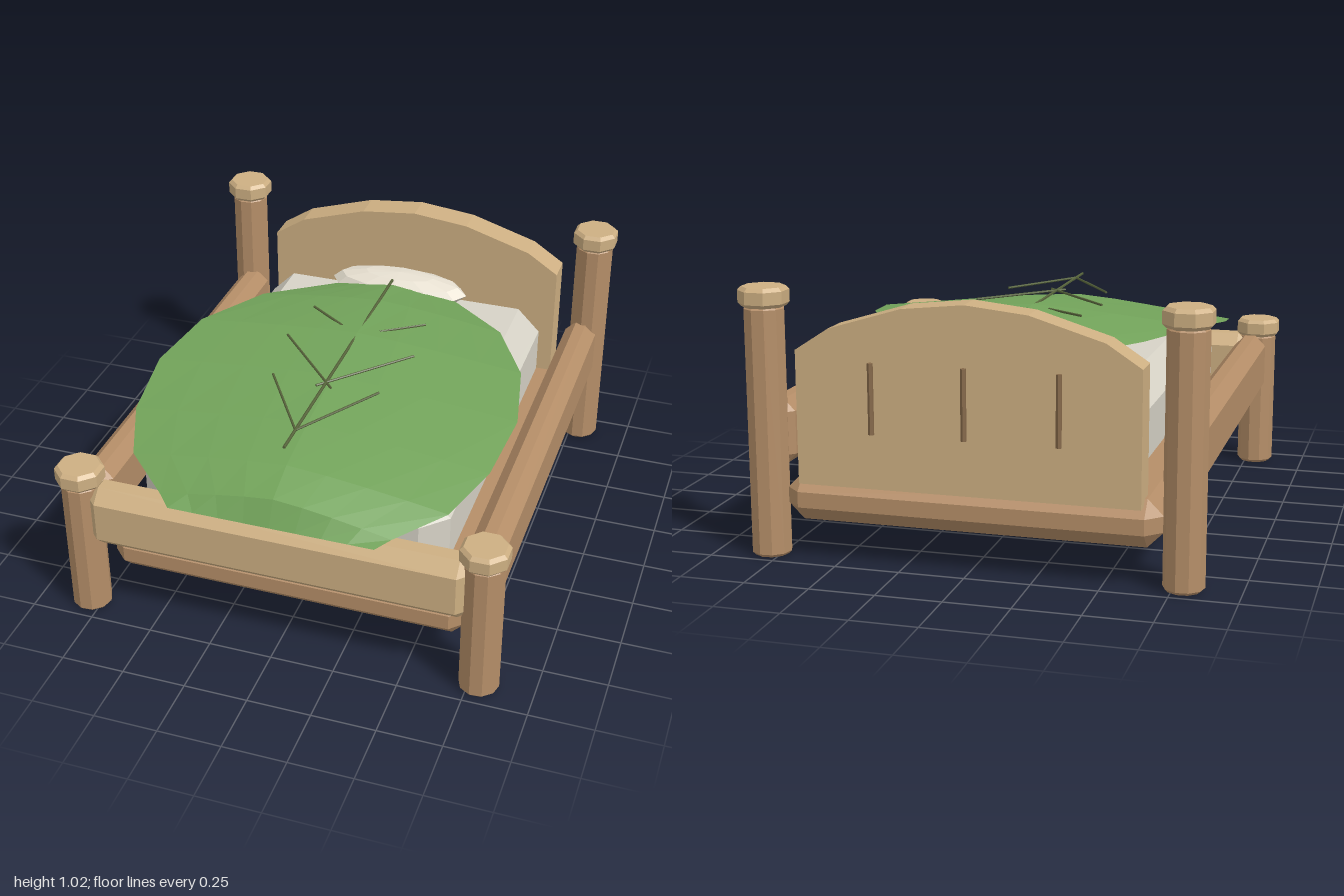
import * as THREE from 'three';
import { ConvexGeometry } from 'three/addons/geometries/ConvexGeometry.js';

const mat = (color, side = THREE.FrontSide) =>
  new THREE.MeshStandardMaterial({ color, side, flatShading: true });

export function createModel() {
  const group = new THREE.Group();
  const wood = mat(0xb58e68), paleWood = mat(0xcdaf82), darkWood = mat(0x86694a);
  const linen = mat(0xd6d2c6), pillowCloth = mat(0xe6dfd0);
  const leafGreen = mat(0x72a35a, THREE.DoubleSide), veinGreen = mat(0x55623a);

  const add = (name, geometry, material, x = 0, y = 0, z = 0) => {
    const mesh = new THREE.Mesh(geometry, material);
    mesh.name = name;
    mesh.position.set(x, y, z);
    group.add(mesh);
    return mesh;
  };

  // Box between two corners with every edge cut at 45 degrees
  const chamferBox = (x0, x1, y0, y1, z0, z1, c) => {
    const half = [(x1 - x0) / 2, (y1 - y0) / 2, (z1 - z0) / 2];
    const points = [];
    for (const sx of [-1, 1]) for (const sy of [-1, 1]) for (const sz of [-1, 1])
      for (let full = 0; full < 3; full++) {
        const p = [sx, sy, sz].map((s, i) => s * (half[i] - (i === full ? 0 : c)));
        points.push(new THREE.Vector3(...p));
      }
    return new ConvexGeometry(points).translate((x0 + x1) / 2, (y0 + y1) / 2, (z0 + z1) / 2);
  };

  // Round bar with bevelled ends
  const bevelledBar = (r, h, b, sides) => new THREE.LatheGeometry([
    [0, 0], [r - b, 0], [r, b], [r, h - b], [r - b, h], [0, h],
  ].map(([x, y]) => new THREE.Vector2(x, y)), sides, Math.PI / 8);

  // Thin rod between two points
  const rod = (name, a, b, r, material) => {
    const dir = b.clone().sub(a);
    const mesh = add(name, new THREE.CylinderGeometry(r, r, dir.length(), 6), material);
    mesh.position.copy(a).add(b).multiplyScalar(0.5);
    mesh.quaternion.setFromUnitVectors(new THREE.Vector3(0, 1, 0), dir.normalize());
  };

  // Four corner posts with caps, and the two side rails
  for (const [side, s] of [['left', 1], ['right', -1]]) {
    for (const [end, z, h] of [['Front', 0.9, 0.585], ['Back', -0.905, 0.955]]) {
      add(side + end + 'Post', bevelledBar(0.077, h, 0.012, 10), wood, s * 0.79, 0, z);
      add(side + end + 'PostCap', bevelledBar(0.095, 0.075, 0.014, 8), paleWood, s * 0.79, h - 0.005, z);
    }
    add(side + 'Rail', chamferBox(-0.067, 0.067, 0.335, 0.59, -0.9, 0.85, 0.045), wood, s * 0.768);
  }

  // Foot rail and base slab
  add('footRail', chamferBox(-0.755, 0.755, 0.325, 0.585, 0.82, 0.975, 0.05), paleWood);
  add('baseSlab', chamferBox(-0.715, 0.715, 0.145, 0.325, -0.965, 0.865, 0.06), wood);

  // Arched headboard
  const arch = [[0.645, 0.805], [0.515, 0.89], [0.235, 0.975], [0, 1.0]];
  const outline = [[0.645, 0.3], ...arch,
    ...arch.slice(0, 3).reverse().map(([x, y]) => [-x, y]), [-0.645, 0.3]];
  const headboard = new THREE.ExtrudeGeometry(
    new THREE.Shape(outline.map(([x, y]) => new THREE.Vector2(x, y))),
    { depth: 0.12, bevelEnabled: false });
  add('headboard', headboard, paleWood, 0, 0, -0.97);

  // Slats on the back of the headboard
  for (const x of [-0.35, 0, 0.35])
    rod('headboardSlat', new THREE.Vector3(x, 0.51, -0.985), new THREE.Vector3(x, 0.775, -0.985), 0.011, darkWood);

  // Mattress and pillow
  add('mattress', chamferBox(-0.61, 0.61, 0.315, 0.69, -0.805, 0.805, 0.095), linen);
  const pillow = add('pillow', new THREE.SphereGeometry(1, 12, 6), pillowCloth, 0, 0.755, -0.635);
  pillow.scale.set(0.3, 0.068, 0.115);

  // Leaf blanket: rows of [z, half width, middle height, edge height]
  const rows = [
    [-0.62, 0.22, 0.785, 0.745], [-0.58, 0.27, 0.795, 0.75], [-0.35, 0.52, 0.835, 0.775],
    [-0.05, 0.68, 0.845, 0.785], [0.25, 0.74, 0.82, 0.755], [0.55, 0.71, 0.785, 0.71],
    [0.78, 0.62, 0.745, 0.665], [0.925, 0.45, 0.69, 0.615], [0.975, 0.4, 0.595, 0.595],
  ];
  const cols = 8, positions = [], index = [];
  rows.forEach(([z, w, mid, edge], r) => {
    for (let c = 0; c <= cols; c++) {
      const u = (c / cols) * 2 - 1;
      positions.push(u * w, mid - (mid - edge) * Math.abs(u) ** 1.3, z);
      if (r && c) {
        const d = r * (cols + 1) + c, b = d - cols - 1;
        index.push(b - 1, d - 1, b, b, d - 1, d);
      }
    }
  });
  const leaf = new THREE.BufferGeometry();
  leaf.setAttribute('position', new THREE.Float32BufferAttribute(positions, 3));
  leaf.setIndex(index);
  leaf.computeVertexNormals();
  add('leafBlanket', leaf, leafGreen);

  // Leaf veins lying in one level plane
  const at = (x, z) => new THREE.Vector3(x, 0.837, z);
  rod('midVein', at(0, -0.53), at(0, 0.8), 0.006, veinGreen);
  for (const s of [-1, 1])
    for (const [x0, z0, x1, z1] of [
      [0.24, -0.21, 0.08, -0.1], [0.265, 0.04, -0.03, 0.365], [0.215, 0.34, 0, 0.68],
    ]) rod('sideVein', at(s * x0, z0), at(s * x1, z1), 0.005, veinGreen);

  return group;
}
